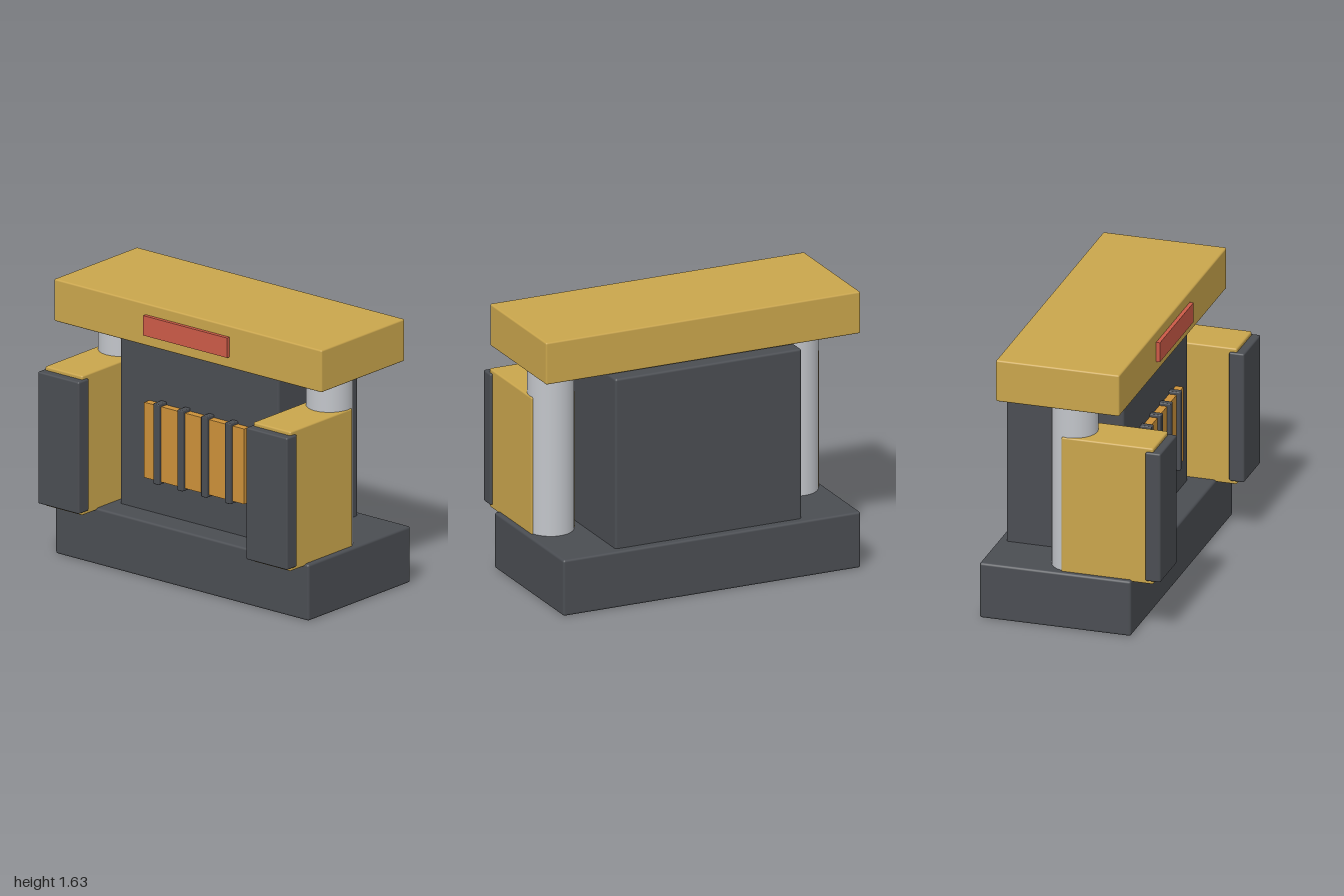
import * as THREE from 'three';
import { RoundedBoxGeometry } from 'three/addons/geometries/RoundedBoxGeometry.js';

const material = (name, color) => {
  const m = new THREE.MeshStandardMaterial({ color });
  m.name = name;
  return m;
};

export function createModel() {
  const model = new THREE.Group();
  model.name = 'press';
  const yellow = material('yellow paint', 0xc9a54c);
  const dark = material('dark grey', 0x4a4d52);
  const steel = material('steel', 0xc2c5ca);
  const orange = material('orange glow', 0xcb9039);
  const red = material('red panel', 0xcb5a47);

  // Box given by its extents on each axis, with an optional edge radius
  function box(name, mat, [x0, x1], [y0, y1], [z0, z1], bevel = 0) {
    const size = [x1 - x0, y1 - y0, z1 - z0];
    const geometry = bevel
      ? new RoundedBoxGeometry(...size, 2, bevel)
      : new THREE.BoxGeometry(...size);
    const mesh = new THREE.Mesh(geometry, mat);
    mesh.name = name;
    mesh.position.set((x0 + x1) / 2, (y0 + y1) / 2, (z0 + z1) / 2);
    model.add(mesh);
  }

  // Base, central housing and top beam
  box('base', dark, [-0.946, 0.946], [0, 0.34], [-0.542, 0.37], 0.014);
  box('housing', dark, [-0.592, 0.592], [0.3, 1.373], [-0.494, 0.214], 0.014);
  box('topBeam', yellow, [-1, 1], [1.38, 1.635], [-0.425, 0.318], 0.01);
  box('redPanel', red, [-0.313, 0.313], [1.448, 1.568], [0.3, 0.341]);

  // Glowing vent behind four bars
  box('vent', orange, [-0.373, 0.373], [0.555, 1.01], [0.2, 0.26]);
  for (const x of [-0.267, -0.089, 0.089, 0.267]) {
    box('ventBar', dark, [x - 0.021, x + 0.021], [0.54, 1.028], [0.2, 0.282], 0.006);
  }

  // Column, side arm and front pad on each side
  for (const [side, s] of [['left', 1], ['right', -1]]) {
    const span = (a, b) => (s > 0 ? [a, b] : [-b, -a]);
    const column = new THREE.Mesh(new THREE.CylinderGeometry(0.135, 0.135, 1.08, 24), steel);
    column.name = side + 'Column';
    column.position.set(s * 0.777, 0.86, -0.02);
    model.add(column);
    box(side + 'Arm', yellow, span(0.638, 0.917), [0.327, 1.171], [-0.058, 0.496], 0.01);
    box(side + 'Pad', dark, span(0.624, 0.932), [0.35, 1.148], [0.452, 0.544], 0.01);
  }
  return model;
}
